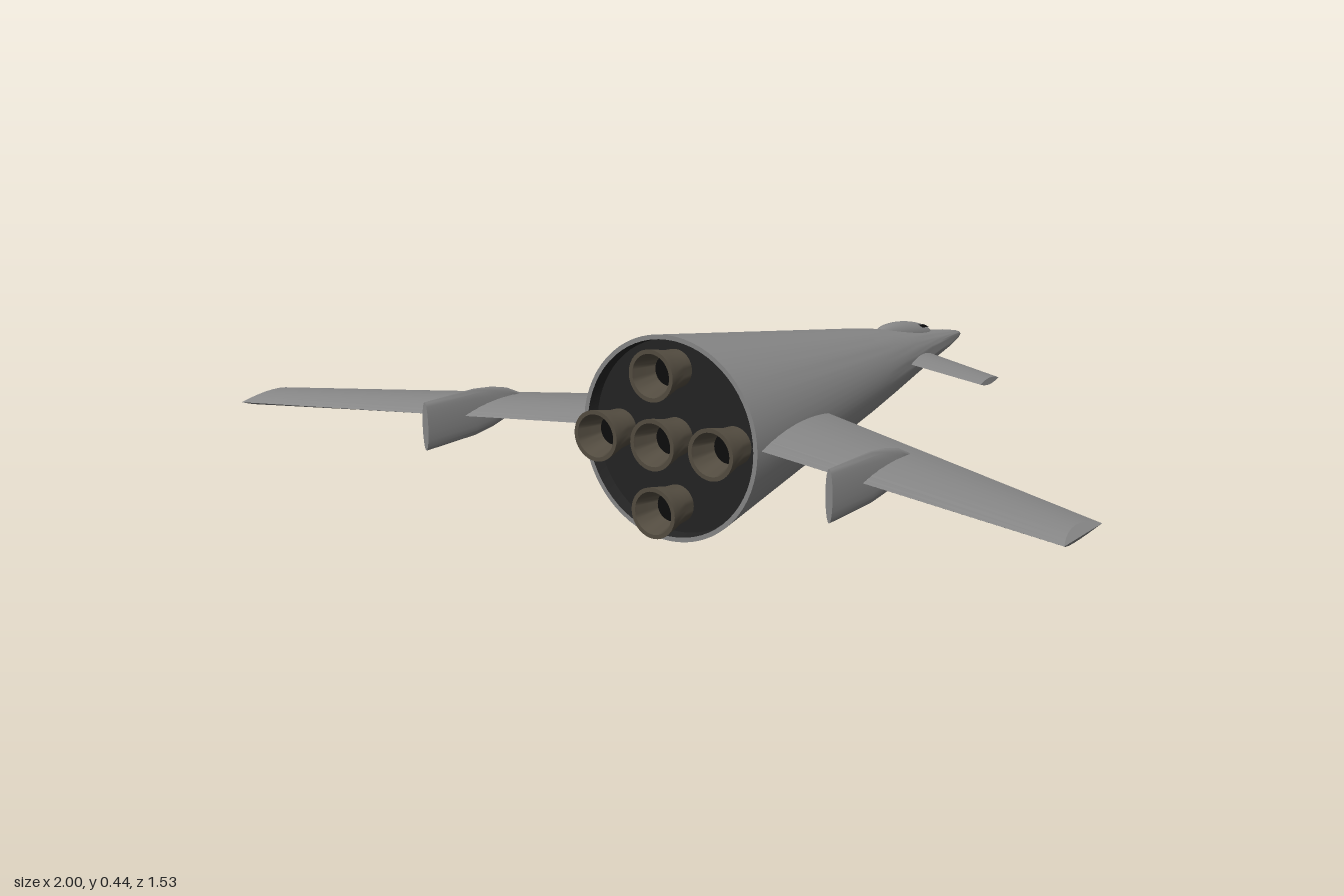
import * as THREE from 'three';
import { toCreasedNormals } from 'three/addons/utils/BufferGeometryUtils.js';

const AXIS_Y = 0.22;
const material = (color) => new THREE.MeshStandardMaterial({ color, side: THREE.DoubleSide });
const grey = material(0x888888);
const black = material(0x0c0c0c);
const charcoal = material(0x242424);
const bronze = material(0x544d41);

function mesh(name, geometry, mat) {
  const m = new THREE.Mesh(geometry, mat);
  m.name = name;
  return m;
}

// Skin closed rings of equal length; the rings turn counter-clockwise about the loft direction
function loft(rings, crease) {
  const n = rings[0].length;
  const index = [];
  for (let i = 0; i < rings.length - 1; i++) {
    for (let j = 0; j < n; j++) {
      const a = i * n + j, b = i * n + (j + 1) % n;
      index.push(a, b, b + n, a, b + n, a + n);
    }
  }
  const g = new THREE.BufferGeometry().setFromPoints(rings.flat());
  g.setIndex(index);
  return toCreasedNormals(g, crease);
}

// Turned shape along z from [radius, z] pairs
function turned(profile, segments) {
  const g = new THREE.LatheGeometry(profile.map(([r, z]) => new THREE.Vector2(r, z)), segments);
  g.rotateX(Math.PI / 2);
  return toCreasedNormals(g, 0.6);
}

// Swept surface with a sharp-edged lens section;
// each station is [x, leading z, trailing z, half thickness, inset of x at the thickest point]
function sweptSurface(stations) {
  const N = 24;
  return loft(stations.map(([x, front, back, t, inset]) =>
    Array.from({ length: N }, (_, j) => {
      const a = (j / N) * Math.PI * 2;
      const c = Math.cos(a);
      const z = (front + back) / 2 + Math.sin(a) * (back - front) / 2;
      return new THREE.Vector3(x - inset * c * c, Math.sign(c) * c * c * t, z);
    })), 0.2);
}

// Upright fin with elliptical sections; each station is [z, half height, half width]
function finGeometry() {
  const stations = [[0.39, 0.001, 0.001], [0.41, 0.015, 0.005], [0.45, 0.033, 0.008],
    [0.5, 0.045, 0.009], [0.56, 0.052, 0.009], [0.715, 0.053, 0.008], [0.715, 0, 0]];
  const N = 20;
  return loft(stations.map(([z, h, w]) =>
    Array.from({ length: N }, (_, j) => {
      const a = (j / N) * Math.PI * 2;
      return new THREE.Vector3(Math.cos(a) * w, Math.sin(a) * h, z);
    })), 0.6);
}

export function createModel() {
  const model = new THREE.Group();
  const craft = new THREE.Group();
  craft.name = 'spaceplane';
  craft.position.y = AXIS_Y;
  model.add(craft);

  // Conical fuselage with a pointed nose and a thin rim around the recessed base
  craft.add(mesh('fuselage', turned([
    [0, -0.77], [0.006, -0.763], [0.012, -0.745], [0.025, -0.68], [0.038, -0.6], [0.05, -0.53],
    [0.066, -0.44], [0.084, -0.34], [0.108, -0.2], [0.22, 0.53], [0.21, 0.53],
  ], 64), grey));
  craft.add(mesh('rearBulkhead', turned([[0.21, 0.53], [0.207, 0.5], [0, 0.5]], 64), charcoal));

  // Five hollow nozzles in a cross, each with a dark throat
  const nozzle = turned([[0.04, 0.49], [0.043, 0.53], [0.052, 0.57], [0.055, 0.588],
    [0.046, 0.588], [0.032, 0.525]], 32);
  const throat = new THREE.CircleGeometry(0.034, 32);
  for (const [x, y] of [[0, 0], [0.145, 0], [-0.145, 0], [0, 0.145], [0, -0.145]]) {
    const engine = new THREE.Group();
    engine.name = 'engine';
    engine.position.set(x, y, 0);
    const throatMesh = mesh('engineThroat', throat, black);
    throatMesh.position.z = 0.527;
    engine.add(mesh('engineNozzle', nozzle, bronze), throatMesh);
    craft.add(engine);
  }

  // Wings, foreplanes and fins on both sides; the right side is the left turned over
  const wing = sweptSurface([[0, 0.075, 0.44, 0.016, 0], [1, 0.605, 0.765, 0.016, 0.015],
    [1, 0.605, 0.765, 0, 0]]);
  const foreplane = sweptSurface([[0, -0.54, -0.4, 0.009, 0], [0.32, -0.353, -0.26, 0.008, 0],
    [0.32, -0.353, -0.26, 0, 0]]);
  const fin = finGeometry();
  for (const side of ['left', 'right']) {
    const half = new THREE.Group();
    half.name = side + 'Surfaces';
    const finMesh = mesh(side + 'Fin', fin, grey);
    finMesh.position.x = 0.5;
    half.add(mesh(side + 'Wing', wing, grey), mesh(side + 'Foreplane', foreplane, grey), finMesh);
    if (side === 'right') half.rotation.z = Math.PI;
    craft.add(half);
  }

  // Canopy blister sloping with the nose, a windscreen band wrapped around its front
  const cockpit = new THREE.Group();
  cockpit.name = 'cockpit';
  cockpit.position.set(0, 0.05, -0.47);
  cockpit.rotation.x = -0.17;
  const canopy = mesh('canopy', new THREE.SphereGeometry(1, 32, 24), grey);
  canopy.scale.set(0.026, 0.031, 0.14);
  // sphere longitude pi * 1.5 faces -z
  const screen = mesh('windscreen',
    new THREE.SphereGeometry(1.03, 24, 6, Math.PI * 1.5 - 1.1, 2.2, 0.7, 0.28), black);
  screen.scale.copy(canopy.scale);
  cockpit.add(canopy, screen);
  craft.add(cockpit);

  return model;
}
